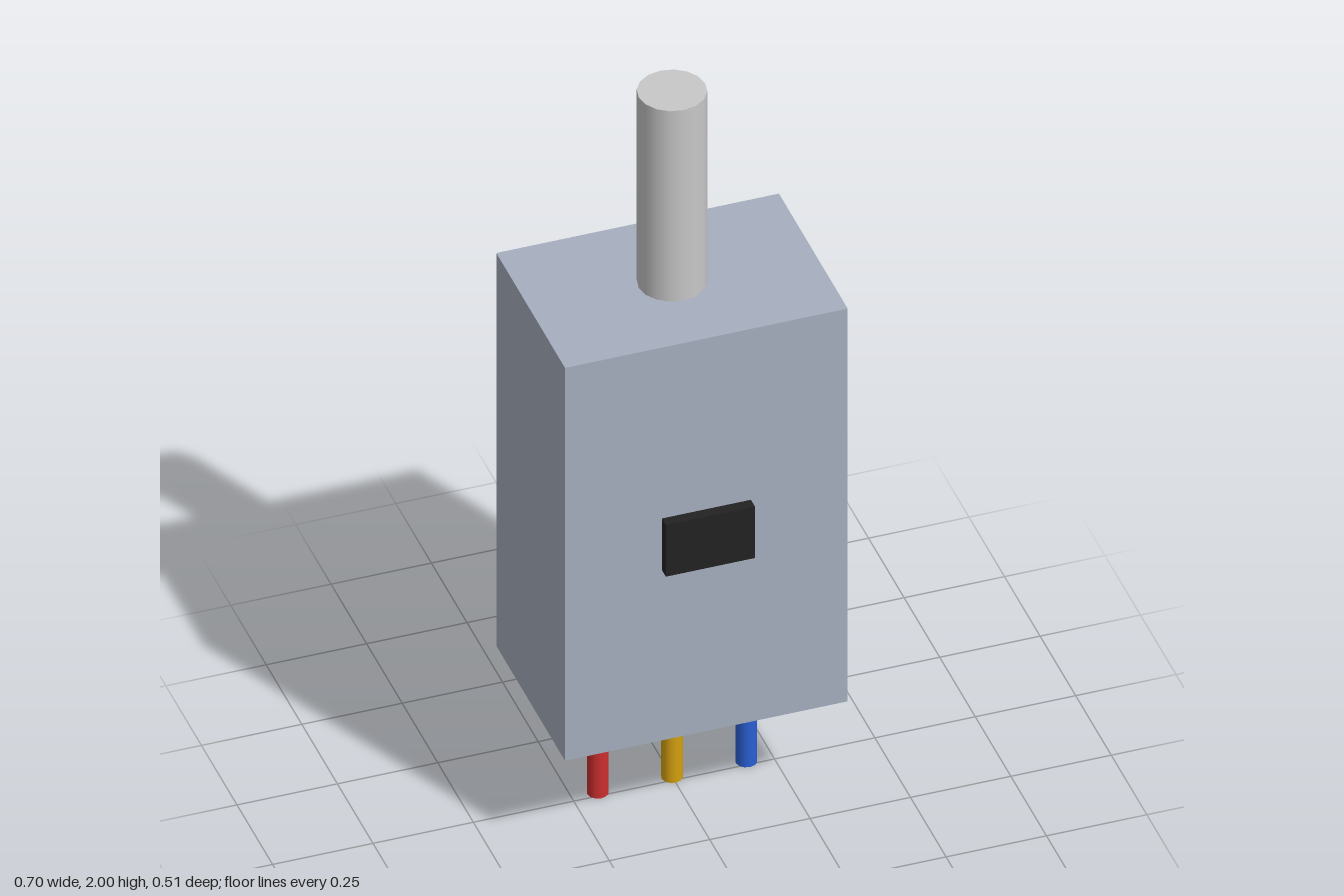
import * as THREE from 'three';

function material(name, color) {
  const m = new THREE.MeshStandardMaterial({ color });
  m.name = name;
  return m;
}

export function createModel() {
  const group = new THREE.Group();
  group.name = 'threePinComponent';
  const axisZ = -0.015; // shared depth of body, shaft and pins

  const add = (name, geometry, mat, x, y, z) => {
    const mesh = new THREE.Mesh(geometry, mat);
    mesh.name = name;
    mesh.position.set(x, y, z);
    group.add(mesh);
  };

  // Rectangular housing
  add('body', new THREE.BoxGeometry(0.704, 1.145, 0.483),
    material('blue grey', 0xa6afbf), 0, 0.8725, axisZ);

  // Shaft on top
  add('shaft', new THREE.CylinderGeometry(0.083, 0.083, 0.555, 16),
    material('light grey', 0xc8c8c8), 0, 1.7225, axisZ);

  // Small block on the front face
  add('frontBlock', new THREE.BoxGeometry(0.222, 0.15, 0.029),
    material('black', 0x222222), 0, 0.872, 0.2405);

  // Three coloured pins below
  const pinGeometry = new THREE.CylinderGeometry(0.026, 0.026, 0.3, 12);
  const pins = [
    ['redPin', 'red', 0xcc2e2e, -0.185],
    ['yellowPin', 'yellow', 0xd4a010, 0],
    ['bluePin', 'blue', 0x2a5fd4, 0.185],
  ];
  for (const [name, colorName, color, x] of pins) {
    add(name, pinGeometry, material(colorName, color), x, 0.15, axisZ);
  }

  return group;
}
